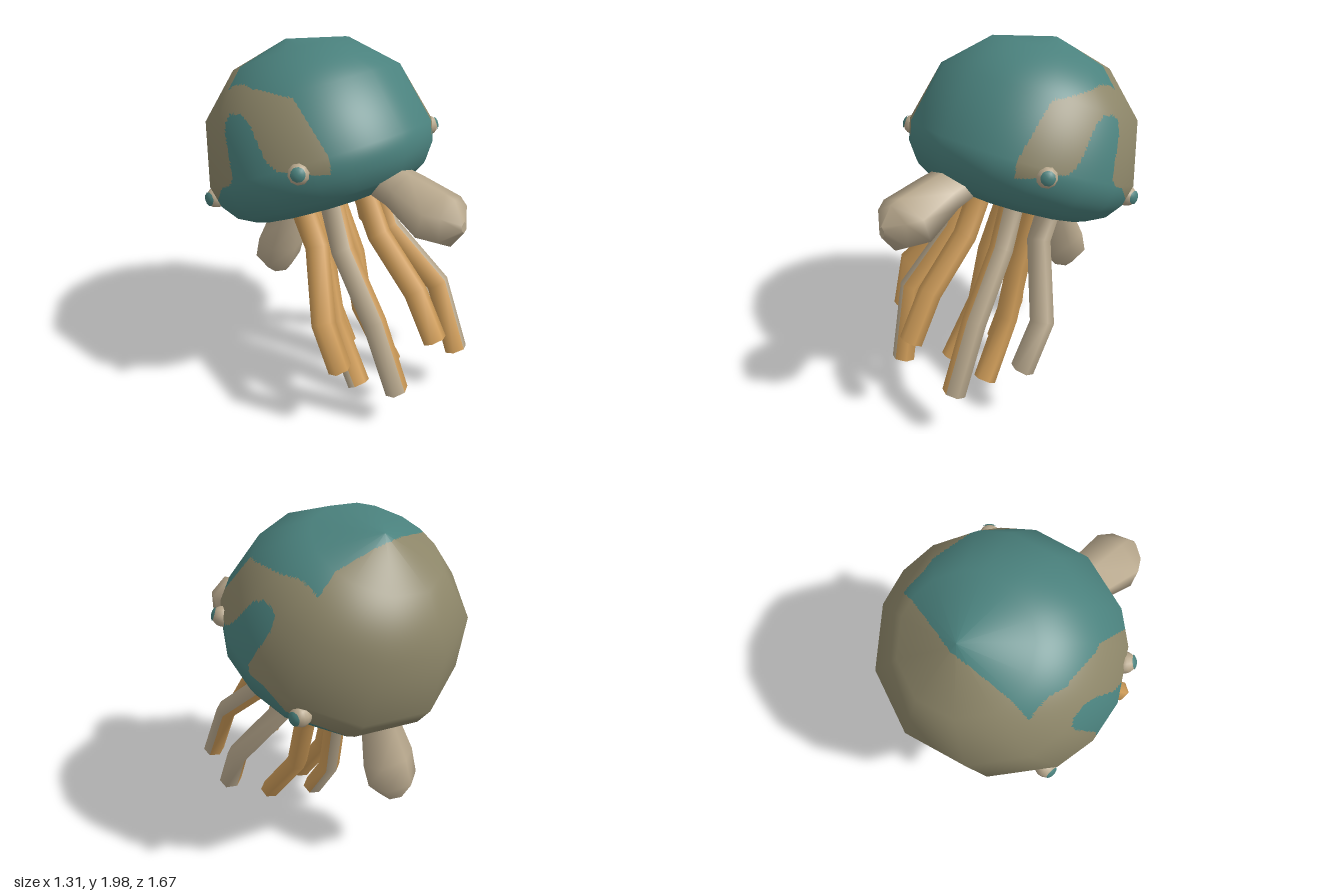
import * as THREE from 'three';

const mat = (name, color) => {
  const m = new THREE.MeshStandardMaterial({ color });
  m.name = name;
  return m;
};
const teal = mat('teal', 0x4a817d);
const khaki = mat('khaki', 0x8c8568);
const cream = mat('cream', 0xb9a98e);
const orange = mat('orange', 0xcd9b58);

const V = (x, y, z) => new THREE.Vector3(x, y, z);
const TILT = -0.41, CENTRE = V(0, 1.15, -0.1);

// Edge of the teal skirt and its raised lobe, as [z, y] on the side of the bell
const SKIRT = [
  [0.7, 1.45], [0.1, 1.47], [0.03, 1.51], [-0.1, 1.66], [-0.17, 1.695], [-0.25, 1.68],
  [-0.27, 1.64], [-0.26, 1.58], [-0.15, 1.38], [-0.17, 1.34], [-0.25, 1.3], [-0.38, 1.15],
  [-0.52, 0.98], [-0.66, 0.92], [-0.75, 0.88], [-0.75, 0.5], [0.7, 0.5]];

function inside(poly, a, b) {
  let hit = false;
  poly.forEach(([ax, ay], i) => {
    const [bx, by] = poly[(i + 1) % poly.length];
    if ((ay > b) !== (by > b) && a < ax + (bx - ax) * (b - ay) / (by - ay)) hit = !hit;
  });
  return hit;
}

// Faceted bell, finely divided so that the two skin colours meet in clean curves
function bell() {
  const profile = [[0, 0.1], [0.33, 0.05], [0.47, -0.055], [0.565, 0.0], [0.63, 0.09],
    [0.657, 0.21], [0.57, 0.55], [0.34, 0.77], [0, 0.86]];
  const half = [0, 28, 45, 70, 90, 110, 144, 180];
  const angles = [...half, ...half.slice(0, -1).reverse().map(a => 360 - a)];
  const base = new THREE.LatheGeometry(profile.map(p => new THREE.Vector2(...p)), angles.length - 1);
  const pos = base.attributes.position, nor = base.attributes.normal, idx = base.index;
  // Uneven spacing of the facets: broad at the back, closer at the front
  for (let i = 0; i < pos.count; i++) {
    const a = THREE.MathUtils.degToRad(angles[Math.floor(i / profile.length)]);
    for (const attr of [pos, nor]) {
      const r = Math.hypot(attr.getX(i), attr.getZ(i));
      attr.setXYZ(i, r * Math.sin(a), attr.getY(i), r * Math.cos(a));
    }
  }
  const parts = { teal: { p: [], n: [] }, khaki: { p: [], n: [] } };
  const N = 20, axis = V(1, 0, 0);

  for (let t = 0; t < idx.count; t += 3) {
    const id = [0, 1, 2].map(k => idx.getX(t + k));
    const P = id.map(i => V().fromBufferAttribute(pos, i));
    const M = id.map(i => V().fromBufferAttribute(nor, i));
    if (V().crossVectors(P[1].clone().sub(P[0]), P[2].clone().sub(P[0])).length() < 1e-6) continue;
    const mix = (c, a, b) => V().addScaledVector(c[0], 1 - (a + b) / N)
      .addScaledVector(c[1], a / N).addScaledVector(c[2], b / N).applyAxisAngle(axis, TILT);
    const emit = (tri) => {
      const pts = tri.map(([a, b]) => mix(P, a, b).add(CENTRE));
      const c = V().add(pts[0]).add(pts[1]).add(pts[2]).divideScalar(3);
      const height = c.clone().sub(CENTRE).applyAxisAngle(axis, -TILT).y;
      const x = Math.abs(c.x);
      const onTop = x < 0.41 - 0.06 * c.z || c.y > 1.8;
      const isTeal = height < 0.01 || (onTop && c.z > -0.48 + 0.15 * x) || inside(SKIRT, c.z, c.y);
      const out = isTeal ? parts.teal : parts.khaki;
      tri.forEach(([a, b], k) => {
        out.p.push(...pts[k].toArray());
        out.n.push(...mix(M, a, b).normalize().toArray());
      });
    };
    for (let a = 0; a < N; a++) for (let b = 0; a + b < N; b++) {
      emit([[a, b], [a + 1, b], [a, b + 1]]);
      if (a + b < N - 1) emit([[a + 1, b], [a + 1, b + 1], [a, b + 1]]);
    }
  }
  return [['bellTeal', parts.teal, teal], ['bellKhaki', parts.khaki, khaki]].map(([name, d, m]) => {
    const g = new THREE.BufferGeometry();
    g.setAttribute('position', new THREE.Float32BufferAttribute(d.p, 3));
    g.setAttribute('normal', new THREE.Float32BufferAttribute(d.n, 3));
    const mesh = new THREE.Mesh(g, m);
    mesh.name = name;
    return mesh;
  });
}

// Limb with elliptical rings: each ring is [x, y, z, half width, half depth];
// sides for which isCream(direction) holds are cream, the others orange
function limb(name, rings, isCream) {
  const sides = 6, last = rings.length - 1;
  const pts = rings.map(r => V(r[0], r[1], r[2]));
  const p = [], faces = [[], []];
  const ring = (k) => {
    const t = pts[Math.min(k + 1, last)].clone().sub(pts[Math.max(k - 1, 0)]).normalize();
    const r = V(1, 0, 0).addScaledVector(t, -t.x).normalize();
    const b = V().crossVectors(t, r);
    for (let j = 0; j < sides; j++) {
      const a = (j + 0.5) / sides * Math.PI * 2;
      p.push(...pts[k].clone().addScaledVector(r, Math.cos(a) * rings[k][3])
        .addScaledVector(b, Math.sin(a) * rings[k][4]).toArray());
    }
  };
  for (let k = 0; k <= last; k++) ring(k);
  for (let j = 0; j < sides; j++) {
    const a = (j + 1) / sides * Math.PI * 2, n = (j + 1) % sides;
    const out = faces[isCream(V(Math.cos(a), 0, Math.sin(a))) ? 0 : 1];
    for (let k = 0; k < last; k++) {
      const o = k * sides, q = o + sides;
      out.push(o + j, o + n, q + n, o + j, q + n, q + j);
    }
  }
  // Flat end with its own corners, orange wherever the limb has any orange
  const end = faces[faces[1].length ? 1 : 0], cap = p.length / 3;
  ring(last);
  for (let j = 1; j < sides - 1; j++) end.push(cap, cap + j, cap + j + 1);
  const g = new THREE.BufferGeometry();
  g.setAttribute('position', new THREE.Float32BufferAttribute(p, 3));
  g.setIndex([...faces[0], ...faces[1]]);
  g.addGroup(0, faces[0].length, 0);
  g.addGroup(faces[0].length, faces[1].length, 1);
  g.computeVertexNormals();
  const mesh = new THREE.Mesh(g, [cream, orange]);
  mesh.name = name;
  return mesh;
}

function eye(name, x, y, z, dir) {
  const g = new THREE.Group();
  g.name = name;
  const ball = new THREE.Mesh(new THREE.SphereGeometry(0.056, 10, 8), cream);
  ball.name = 'eyeball';
  const pupil = new THREE.Mesh(new THREE.SphereGeometry(0.061, 10, 3, 0, Math.PI * 2, 0, 0.68), teal);
  pupil.name = 'pupil';
  g.add(ball, pupil);
  g.position.set(x, y, z);
  g.quaternion.setFromUnitVectors(V(0, 1, 0), dir.normalize());
  return g;
}

export function createModel() {
  const model = new THREE.Group();
  model.name = 'jellyfish';
  model.add(...bell());

  // Two pairs of eyes
  for (const [s, side] of [[1, 'left'], [-1, 'right']]) {
    model.add(eye(side + 'FrontEye', s * 0.5, 1.465, 0.19, V(s * 0.55, 0.25, 0.5)));
    model.add(eye(side + 'BackEye', s * 0.562, 1.165, -0.42, V(s, 0.1, 0)));
  }

  // Club-shaped arms
  const all = () => true, none = () => false;
  model.add(limb('frontArm', [[0, 1.33, 0.28, 0.14, 0.09], [0, 1.30, 0.45, 0.15, 0.1],
    [0, 1.225, 0.67, 0.18, 0.14], [0, 1.215, 0.76, 0.125, 0.13], [0, 1.22, 0.83, 0.02, 0.03]], all));
  model.add(limb('backArm', [[0, 1.05, -0.45, 0.1, 0.09], [0, 0.84, -0.48, 0.12, 0.1],
    [0, 0.66, -0.54, 0.155, 0.13], [0, 0.53, -0.58, 0.15, 0.13], [0, 0.435, -0.58, 0.07, 0.07]], all));

  // Trailing tentacles, striped in cream along the sides that face (x, z)
  const strip = (x, z, limit) => d => d.x * x + d.z * z > limit;
  const tentacles = [
    ['frontTentacle', none, [[0, 1.28, 0.12], [0, 0.98, 0.28], [0, 0.73, 0.55], [0, 0.485, 0.70]]],
    ['leftFrontTentacle', strip(0.8, 0.6, 0.3),
      [[0.17, 1.3, 0.04], [0.19, 0.93, 0.19], [0.28, 0.64, 0.49], [0.28, 0.26, 0.65]]],
    ['rightFrontTentacle', strip(-0.9, 0.3, 0.25),
      [[-0.17, 1.3, 0.04], [-0.19, 0.92, 0.19], [-0.25, 0.62, 0.48], [-0.2, 0.21, 0.61]]],
    ['leftOuterTentacle', strip(0.6, 0.6, -0.3),
      [[0.28, 1.25, -0.16], [0.26, 0.92, -0.04], [0.48, 0.58, 0.17], [0.45, 0.31, 0.29]]],
    ['rightOuterTentacle', strip(0.5, -0.87, 0.2),
      [[-0.29, 1.25, -0.08], [-0.26, 0.92, 0.06], [-0.46, 0.63, 0.31], [-0.43, 0.37, 0.40]]],
    ['leftBackTentacle', none,
      [[0.1, 1.2, -0.26], [0.12, 0.7, -0.02], [0.11, 0.37, 0.06], [0.14, 0.045, 0.28]]],
    ['rightBackTentacle', strip(-0.8, -0.5, 0.6),
      [[-0.1, 1.2, -0.26], [-0.12, 0.7, -0.02], [-0.13, 0.37, 0.06], [-0.15, 0.045, 0.28]]],
    ['backTentacle', strip(0.5, -0.87, 0.8),
      [[0, 1.15, -0.34], [0, 0.74, -0.15], [0, 0.37, -0.105], [0, 0.135, 0.03]]],
  ];
  for (const [name, rule, path] of tentacles)
    model.add(limb(name, path.map(q => [...q, 0.069, 0.06]), rule));

  return model;
}
